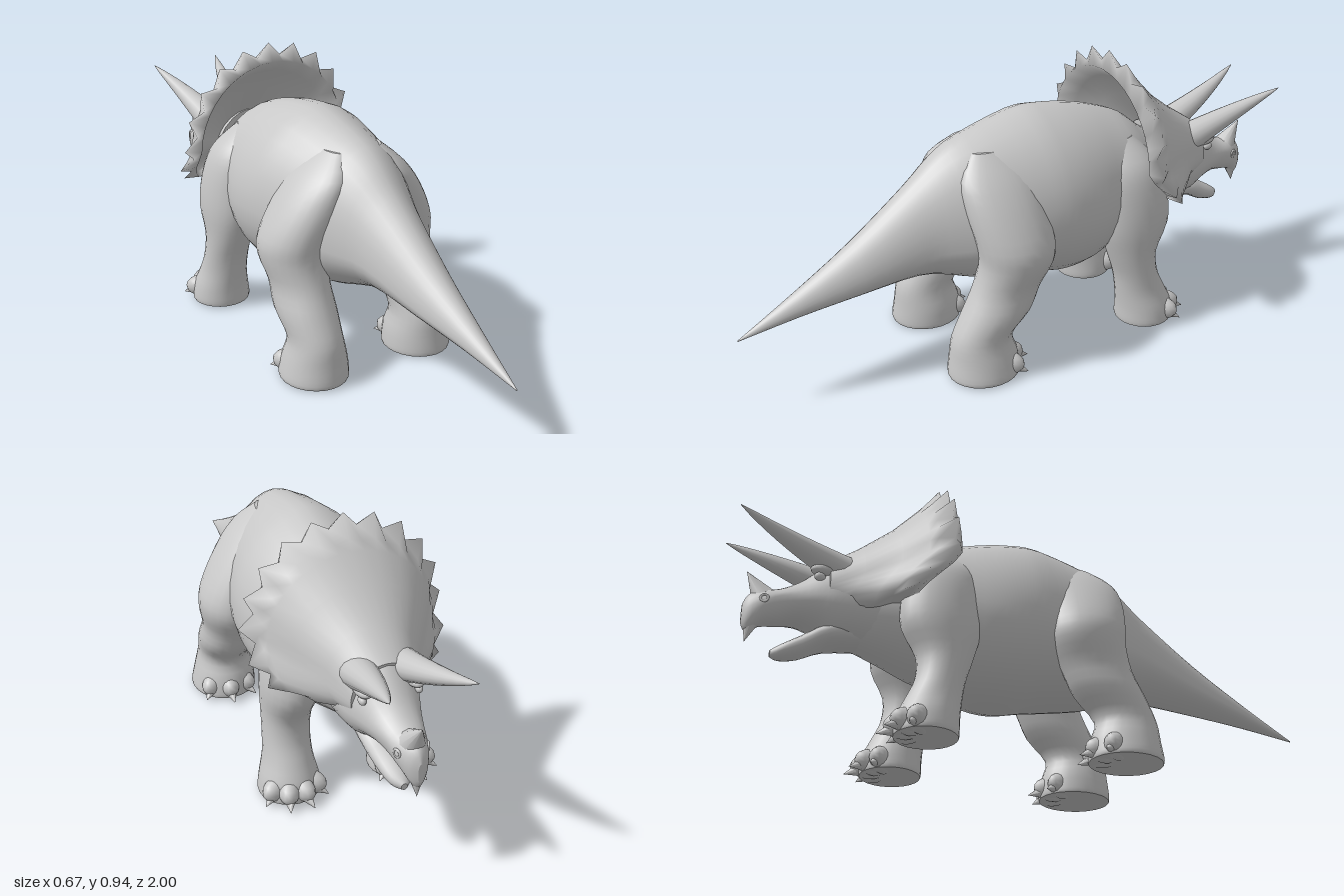
import * as THREE from 'three';

const skin = new THREE.MeshStandardMaterial({ color: 0xc8c8c8 });
skin.name = 'grey skin';
const V = (x, y, z) => new THREE.Vector3(x, y, z);

// Catmull-Rom refinement of section rows
function refine(rows, n = 3) {
  const out = [];
  const at = i => rows[Math.min(rows.length - 1, Math.max(0, i))];
  for (let i = 0; i < rows.length - 1; i++) {
    for (let k = 0; k < n; k++) {
      const t = k / n;
      out.push(rows[i].map((p1, c) => {
        const p0 = at(i - 1)[c], p2 = at(i + 1)[c], p3 = at(i + 2)[c];
        return p1 + 0.5 * t * (p2 - p0 + t * (2 * p0 - 5 * p1 + 4 * p2 - p3 + t * (3 * (p1 - p2) + p3 - p0)));
      }));
    }
  }
  out.push(rows[rows.length - 1]);
  return out;
}

// Skin closed rings of points, with separate flat caps at both ends
function loft(name, rings) {
  const n = rings[0].length, last = rings.length - 1;
  const pts = rings.flat(), idx = [];
  for (let r = 0; r < last; r++) {
    for (let i = 0; i < n; i++) {
      const j = (i + 1) % n, a = r * n + i, b = r * n + j;
      idx.push(a, b, a + n, b, b + n, a + n);
    }
  }
  for (const [ring, flip] of [[rings[0], true], [rings[last], false]]) {
    const start = pts.length;
    const mid = ring.reduce((s, p) => s.add(p), V(0, 0, 0)).divideScalar(n);
    pts.push(...ring, mid);
    for (let i = 0; i < n; i++) {
      const a = start + i, b = start + (i + 1) % n;
      idx.push(start + n, flip ? b : a, flip ? a : b);
    }
  }
  // Turn the faces outward if the enclosed volume is negative
  let volume = 0;
  for (let i = 0; i < idx.length; i += 3) {
    volume += pts[idx[i]].dot(V(0, 0, 0).crossVectors(pts[idx[i + 1]], pts[idx[i + 2]]));
  }
  if (volume < 0) idx.reverse();
  const geo = new THREE.BufferGeometry().setFromPoints(pts);
  geo.setIndex(idx);
  geo.computeVertexNormals();
  return named(name, geo);
}

function named(name, geo) {
  const mesh = new THREE.Mesh(geo, skin);
  mesh.name = name;
  return mesh;
}

// Ring across z from [z, top, widest height, bottom, half width], with a slight
// ridge on top; the tail's underside narrows to a keel
function zRing([z, top, mid, bottom, hw], n = 32) {
  const keel = 1 + 0.5 * THREE.MathUtils.smoothstep(z, 0.1, 0.5);
  return Array.from({ length: n }, (_, i) => {
    const a = i / n * Math.PI * 2, c = Math.cos(a), s = Math.sin(a);
    const x = Math.sign(s) * Math.abs(s) ** (c > 0 ? 1.15 : keel);
    return V(hw * x, mid + c * (c > 0 ? top - mid : mid - bottom), z);
  });
}

// Frill ring from [z, top, centre height, floor, half width, spike length], lower sides swept to the face
function frillRing([z, top, mid, floor, hw, spike]) {
  const sweep = 0.12 * THREE.MathUtils.clamp((z + 0.69) / 0.33, 0, 1);
  return Array.from({ length: 41 }, (_, k) => {
    const i = k - 20, a = i * 8.75 * Math.PI / 180, c = Math.cos(a);
    const out = i % 2 === 0 && Math.abs(i) <= 14 ? spike : 0;
    const y = c > 0 ? mid + c * (top - mid + out) : Math.max(floor, mid + c * (hw * 0.85 + out));
    return V((hw + out) * Math.sin(a), y, z - sweep * Math.min(1, Math.max(0, -2 * c)));
  });
}

// Ring across y from [y, centre x, centre z, radius x, radius z]
function yRing([y, cx, cz, rx, rz], s, n = 24) {
  return Array.from({ length: n }, (_, i) => {
    const a = i / n * Math.PI * 2;
    return V(s * (cx + rx * Math.cos(a)), y, cz + rz * Math.sin(a));
  });
}

// Straight spike between two points
function spike(name, from, to, radius, sides = 12) {
  const dir = to.clone().sub(from), len = dir.length();
  const geo = new THREE.ConeGeometry(radius, len, sides).translate(0, len / 2, 0);
  const mesh = named(name, geo);
  mesh.position.copy(from);
  mesh.quaternion.setFromUnitVectors(V(0, 1, 0), dir.normalize());
  return mesh;
}

function blob(name, x, y, z, rx, ry, rz) {
  const mesh = named(name, new THREE.SphereGeometry(1, 16, 10));
  mesh.position.set(x, y, z);
  mesh.scale.set(rx, ry, rz);
  return mesh;
}

function leg(name, rows, s, toes) {
  const group = new THREE.Group();
  group.name = name;
  group.add(loft('limb', refine(rows).map(r => yRing(r, s))));
  // Toes fan out around the front of the foot
  const [, cx, cz, rx, rz] = rows[rows.length - 1];
  for (const deg of toes) {
    const a = deg * Math.PI / 180, dx = Math.sin(a), dz = -Math.cos(a);
    const x = s * (cx + dx * rx * 0.6), z = cz + dz * rz * 0.64;
    const toe = blob('toe', x, 0.036, z, 0.037, 0.042, 0.066);
    toe.rotation.y = -s * a;
    group.add(toe);
    group.add(spike('claw', V(x, 0.034, z), V(x + s * dx * 0.07, 0.006, z + dz * 0.088), 0.036, 10));
  }
  return group;
}

export function createModel() {
  const model = new THREE.Group();
  model.name = 'horned dinosaur';

  // Body from tail tip to neck
  const body = [
    [1, 0.252, 0.25, 0.248, 0.002], [0.8, 0.36, 0.31, 0.275, 0.04], [0.6, 0.48, 0.36, 0.295, 0.08],
    [0.4, 0.625, 0.42, 0.305, 0.12], [0.3, 0.705, 0.43, 0.285, 0.158], [0.2, 0.752, 0.44, 0.255, 0.2],
    [0, 0.797, 0.47, 0.22, 0.245], [-0.1, 0.793, 0.47, 0.198, 0.253], [-0.2, 0.775, 0.46, 0.205, 0.242],
    [-0.3, 0.745, 0.47, 0.24, 0.214], [-0.4, 0.7, 0.48, 0.27, 0.19], [-0.5, 0.62, 0.47, 0.305, 0.145],
    [-0.62, 0.57, 0.46, 0.345, 0.1]];
  model.add(loft('bodyAndTail', refine(body).map(r => zRing(r))));

  // Legs, with hips and shoulders leaning into the body
  const hind = [
    [0.72, 0.07, 0.14, 0.03, 0.07], [0.65, 0.11, 0.145, 0.07, 0.125], [0.56, 0.152, 0.14, 0.097, 0.136],
    [0.45, 0.198, 0.127, 0.108, 0.132],
    [0.38, 0.204, 0.127, 0.107, 0.128], [0.3, 0.2, 0.16, 0.093, 0.118], [0.22, 0.202, 0.2, 0.096, 0.118],
    [0.14, 0.2, 0.255, 0.087, 0.102], [0.07, 0.2, 0.252, 0.103, 0.115], [0.015, 0.203, 0.252, 0.112, 0.122],
    [0, 0.203, 0.252, 0.11, 0.12]];
  const fore = [
    [0.66, 0.1, -0.335, 0.03, 0.05], [0.6, 0.122, -0.34, 0.078, 0.1], [0.54, 0.145, -0.348, 0.09, 0.122],
    [0.45, 0.163, -0.357, 0.093, 0.13],
    [0.36, 0.174, -0.358, 0.09, 0.126], [0.27, 0.18, -0.347, 0.08, 0.09], [0.19, 0.185, -0.36, 0.077, 0.078],
    [0.12, 0.188, -0.38, 0.081, 0.087], [0.06, 0.19, -0.397, 0.095, 0.098], [0.015, 0.19, -0.4, 0.102, 0.1],
    [0, 0.19, -0.4, 0.1, 0.098]];
  for (const s of [1, -1]) {
    const side = s > 0 ? 'left' : 'right';
    model.add(leg(side + 'HindLeg', hind, s, [-36, 4, 46]));
    model.add(leg(side + 'ForeLeg', fore, s, [-52, -16, 20, 56]));
  }

  // Skull, lower jaw and beak
  const head = new THREE.Group();
  head.name = 'head';
  model.add(head);
  const skull = [
    [-0.52, 0.64, 0.47, 0.33, 0.13], [-0.6, 0.64, 0.46, 0.338, 0.128], [-0.67, 0.625, 0.46, 0.345, 0.118],
    [-0.72, 0.585, 0.46, 0.37, 0.102],
    [-0.78, 0.53, 0.455, 0.385, 0.08], [-0.84, 0.495, 0.45, 0.375, 0.062], [-0.89, 0.487, 0.43, 0.365, 0.05],
    [-0.93, 0.465, 0.41, 0.34, 0.03], [-0.947, 0.43, 0.4, 0.365, 0.008]];
  head.add(loft('skull', refine(skull).map(r => zRing(r, 24))));
  const jaw = [
    [-0.56, 0.42, 0.38, 0.335, 0.07], [-0.68, 0.4, 0.36, 0.318, 0.074], [-0.76, 0.35, 0.317, 0.277, 0.056],
    [-0.82, 0.312, 0.288, 0.262, 0.036], [-0.85, 0.29, 0.28, 0.268, 0.01]];
  head.add(loft('lowerJaw', refine(jaw).map(r => zRing(r, 20))));
  head.add(spike('beakHook', V(0, 0.4, -0.912), V(0, 0.305, -0.93), 0.034));
  head.add(spike('noseHorn', V(0, 0.465, -0.885), V(0, 0.545, -0.942), 0.04));

  // Frill: concave back, toothed rim, sloping front
  const frill = [
    [-0.54, 0.62, 0.52, 0.46, 0.11, 0], [-0.45, 0.74, 0.55, 0.455, 0.2, 0], [-0.39, 0.82, 0.57, 0.455, 0.255, 0],
    [-0.33, 0.866, 0.58, 0.455, 0.282, 0], [-0.355, 0.885, 0.58, 0.45, 0.29, 0.044],
    [-0.405, 0.855, 0.58, 0.45, 0.278, 0.008], [-0.43, 0.835, 0.575, 0.445, 0.268, 0],
    [-0.5, 0.76, 0.555, 0.43, 0.22, 0], [-0.6, 0.68, 0.53, 0.41, 0.15, 0], [-0.7, 0.61, 0.5, 0.4, 0.11, 0]];
  head.add(loft('frill', frill.map(frillRing)));

  // Brow horns, eyes and nostrils
  for (const s of [1, -1]) {
    const path = new THREE.QuadraticBezierCurve3(V(s * 0.065, 0.56, -0.63), V(s * 0.082, 0.632, -0.84), V(s * 0.13, 0.702, -1));
    const rings = [];
    for (let k = 0; k <= 10; k++) {
      const p = path.getPoint(k / 10), r = 0.05 * (1 - k / 10) ** 0.85 + 0.001;
      rings.push(Array.from({ length: 16 }, (_, i) => {
        const a = i / 16 * Math.PI * 2;
        return V(p.x + r * 1.15 * Math.cos(a), p.y + r * 0.95 * Math.sin(a), p.z + r * 0.4 * Math.sin(a));
      }));
    }
    head.add(loft('browHorn', rings));
    head.add(blob('browRidge', s * 0.08, 0.552, -0.71, 0.028, 0.02, 0.05));
    head.add(blob('eye', s * 0.088, 0.525, -0.73, 0.012, 0.014, 0.018));
    const nostril = named('nostril', new THREE.TorusGeometry(0.012, 0.004, 8, 16));
    nostril.position.set(s * 0.048, 0.44, -0.888);
    nostril.rotation.y = s * 1.9;
    head.add(nostril);
  }
  return model;
}
